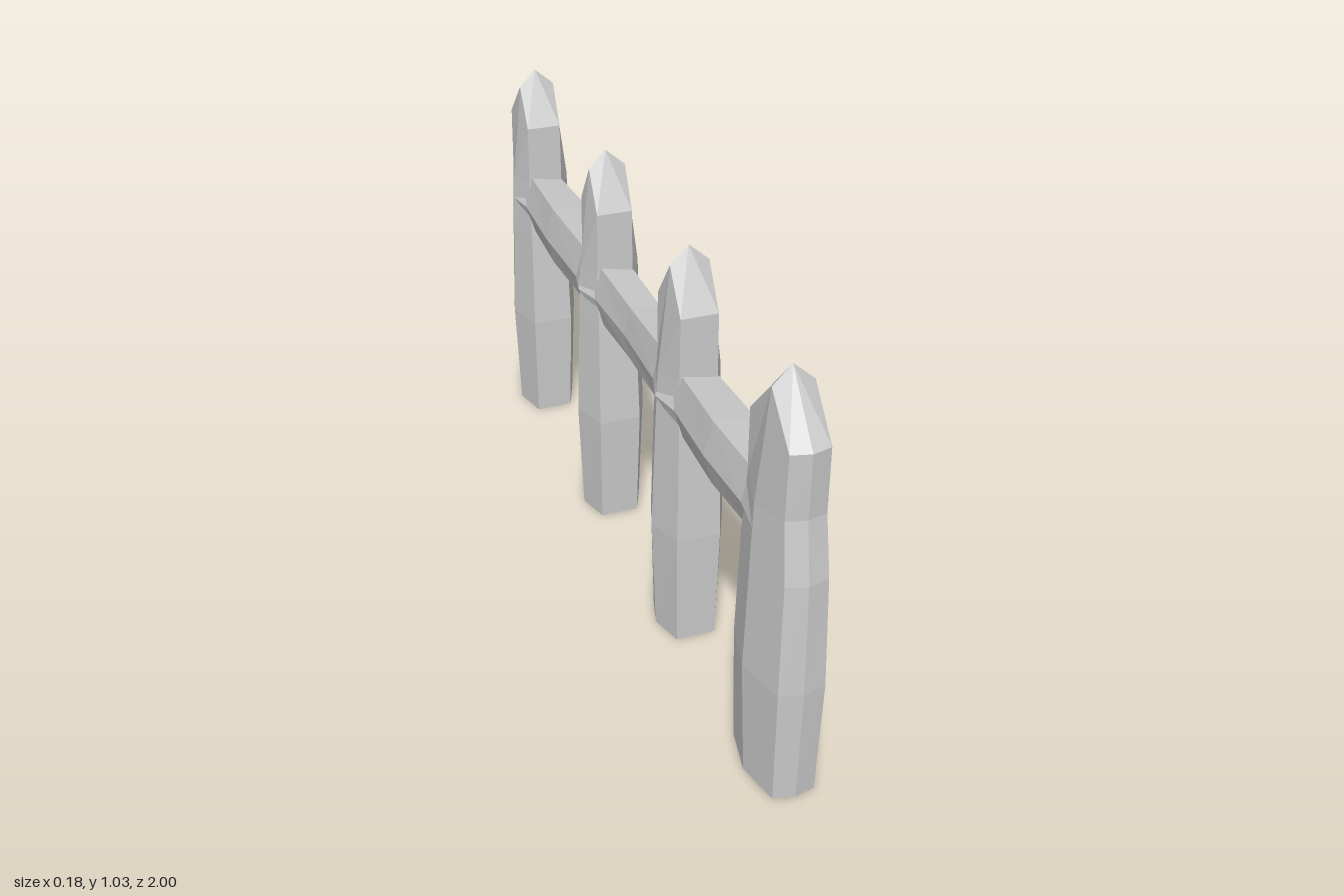
import * as THREE from 'three';

const material = new THREE.MeshStandardMaterial({ color: 0xcccccc, flatShading: true });

// Skins a list of equal-length rings; rings run counter-clockwise seen from the last ring.
function loft(name, rings, startTip, endTip) {
  const pos = [];
  const n = rings[0].length;
  const tri = (a, b, c) => pos.push(...a, ...b, ...c);
  for (let i = 0; i < rings.length - 1; i++) {
    for (let j = 0; j < n; j++) {
      const k = (j + 1) % n;
      const [a, b, c, d] = [rings[i][j], rings[i][k], rings[i + 1][k], rings[i + 1][j]];
      tri(a, b, c);
      tri(a, c, d);
    }
  }
  const last = rings[rings.length - 1];
  for (let j = 0; j < n; j++) {
    const k = (j + 1) % n;
    tri(startTip, rings[0][k], rings[0][j]);
    tri(endTip, last[j], last[k]);
  }
  const geometry = new THREE.BufferGeometry();
  geometry.setAttribute('position', new THREE.Float32BufferAttribute(pos, 3));
  geometry.computeVertexNormals();
  const mesh = new THREE.Mesh(geometry, material);
  mesh.name = name;
  return mesh;
}

// Rows of a post: side height, edge height, side half width, edge half width
const postRows = [
  [0, 0, 0.08, 0.05],
  [0.3, 0.3, 0.092, 0.055],
  [0.58, 0.58, 0.083, 0.05],
  [0.72, 0.73, 0.078, 0.047],
  [0.99, 0.89, 0.045, 0.046],
];

// Pointed post; back and front list the z of each face row by row,
// and the bulges pull the corners in behind the middle of each face.
function makePost({ name, z, back, front, backBulge = 0, frontBulge = 0 }) {
  const shift = -0.006;
  const rings = postRows.map(([ySide, yEdge, side, edge], i) => [
    [side, ySide, z],
    [shift + edge, yEdge, back[i] + backBulge],
    [shift, yEdge, back[i]],
    [shift - edge, yEdge, back[i] + backBulge],
    [-side - (i === 4 ? 0.005 : 0), ySide, z],
    [shift - edge, yEdge, front[i] - frontBulge],
    [shift, yEdge, front[i]],
    [shift + edge, yEdge, front[i] - frontBulge],
  ]);
  return loft(name, rings, [0, 0, z], [shift, 1.035, z]);
}

const posts = [
  { name: 'backPost', z: -0.875, backBulge: 0.015,
    back: [-0.985, -1.0, -0.99, -0.98, -0.98], front: [-0.78, -0.77, -0.785, -0.805, -0.805] },
  { name: 'backMiddlePost', z: -0.27,
    back: [-0.35, -0.355, -0.345, -0.33, -0.33], front: [-0.185, -0.175, -0.19, -0.205, -0.205] },
  { name: 'frontMiddlePost', z: 0.3,
    back: [0.22, 0.212, 0.217, 0.23, 0.23], front: [0.385, 0.393, 0.385, 0.375, 0.375] },
  { name: 'frontPost', z: 0.865, frontBulge: 0.012,
    back: [0.75, 0.745, 0.755, 0.77, 0.77], front: [0.985, 0.998, 0.993, 0.972, 0.977] },
];

// Rail slices: z, half width at mid height, half width of top and bottom, vertical lift.
// The rail swells at each post and sags slightly between the middle posts.
const railSlices = [
  [-0.875, 0.08, 0.04, -0.003],
  [-0.8, 0.066, 0.045, 0],
  [-0.58, 0.074, 0.054, 0.004],
  [-0.34, 0.068, 0.047, 0],
  [-0.27, 0.084, 0.045, 0],
  [-0.2, 0.062, 0.044, 0],
  [0, 0.055, 0.041, -0.007],
  [0.225, 0.062, 0.044, 0],
  [0.3, 0.084, 0.045, 0],
  [0.38, 0.067, 0.047, 0],
  [0.58, 0.074, 0.054, 0.004],
  [0.77, 0.066, 0.045, 0],
  [0.865, 0.08, 0.04, -0.003],
];

function makeRail() {
  const rings = railSlices.map(([z, side, edge, lift]) => [
    [side, 0.655, z],
    [edge, 0.724 + lift / 2, z],
    [-edge, 0.743 + lift, z],
    [-side, 0.66, z],
    [-edge, 0.588 - lift / 2, z],
    [edge, 0.588 - lift / 2, z],
  ]);
  return loft('rail', rings, [0, 0.66, -0.875], [0, 0.66, 0.865]);
}

export function createModel() {
  const fence = new THREE.Group();
  fence.name = 'fence';
  for (const post of posts) fence.add(makePost(post));
  fence.add(makeRail());
  return fence;
}
